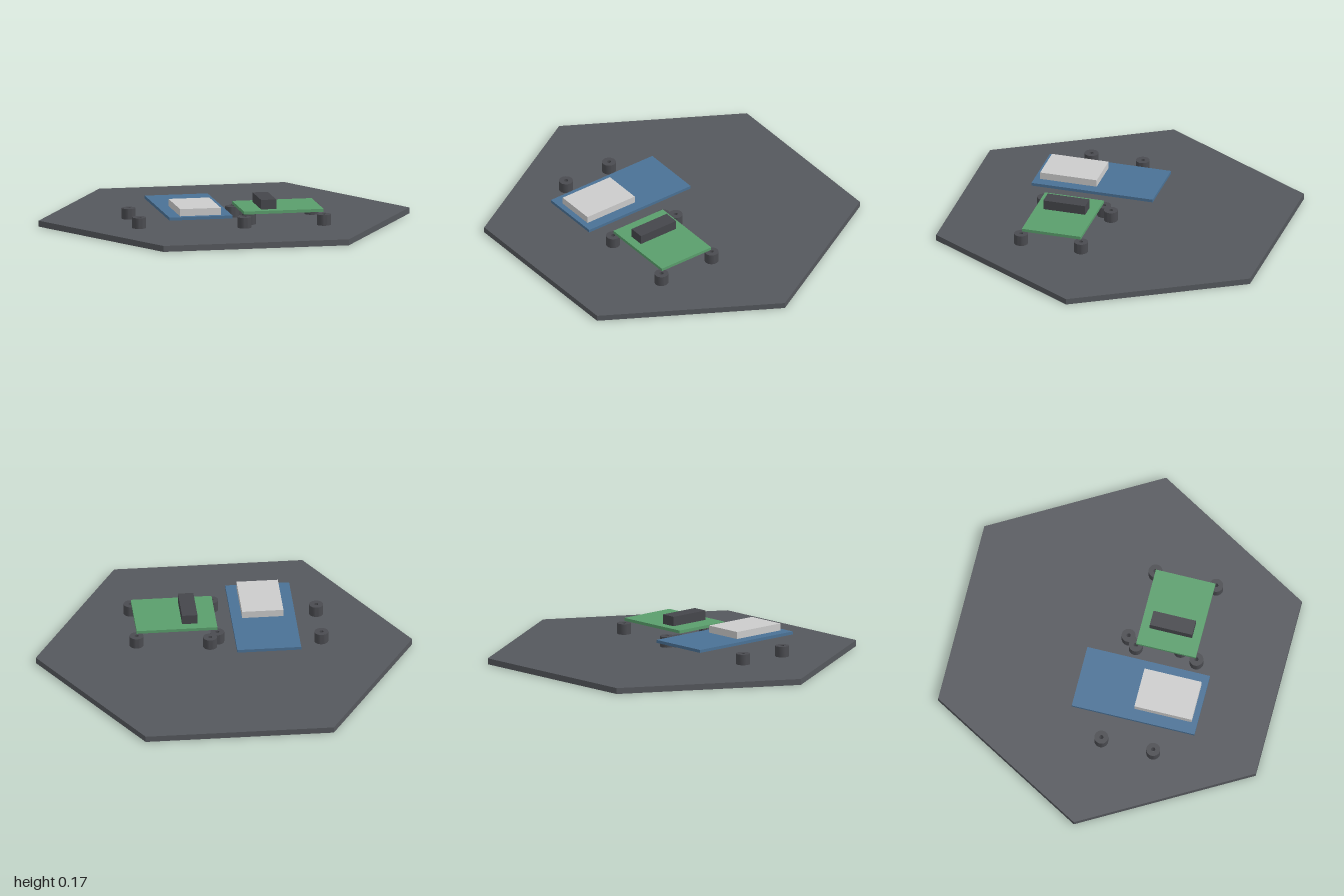
import * as THREE from 'three';
import { toCreasedNormals } from 'three/addons/utils/BufferGeometryUtils.js';

const material = (color) => new THREE.MeshStandardMaterial({ color });

export function createModel() {
  const model = new THREE.Group();
  const plateMat = material(0x55585d);
  const standoffMat = material(0x4a4b50);
  const connectorMat = material(0x45464b);
  const plateTop = 0.032;

  const add = (name, geometry, mat, x, y, z, parent = model) => {
    const mesh = new THREE.Mesh(geometry, mat);
    mesh.name = name;
    mesh.position.set(x, y, z);
    parent.add(mesh);
    return mesh;
  };

  // Box given by its extents on each axis
  const slab = (name, mat, [x0, x1], [y0, y1], [z0, z1], parent) =>
    add(name, new THREE.BoxGeometry(x1 - x0, y1 - y0, z1 - z0), mat,
      (x0 + x1) / 2, (y0 + y1) / 2, (z0 + z1) / 2, parent);

  // Hexagonal base plate with corners on the x axis
  const plate = toCreasedNormals(
    new THREE.CylinderGeometry(1, 1, plateTop, 6, 1, false, Math.PI / 2), 0.5);
  add('basePlate', plate, plateMat, 0, plateTop / 2, 0);

  // Hollow standoffs: one rectangle of four for each board
  const outer = 0.037, inner = 0.011, height = 0.057;
  const profile = [[outer, 0], [outer, height], [inner, height], [inner, 0], [outer, 0]]
    .map(([r, y]) => new THREE.Vector2(r, y));
  const standoff = toCreasedNormals(new THREE.LatheGeometry(profile, 32), 0.6);
  const standoffs = (name, xs, zs) => {
    const group = new THREE.Group();
    group.name = name;
    for (const x of xs)
      for (const z of zs) add('standoff', standoff, standoffMat, x, plateTop, z, group);
    model.add(group);
  };
  standoffs('blueBoardStandoffs', [-0.52, 0.071], [0.029, 0.312]);
  standoffs('greenBoardStandoffs', [0.028, 0.457], [0.079, 0.41]);

  // Blue board with its metal module
  const boardY = [0.1, 0.116];
  const blue = new THREE.Group();
  blue.name = 'blueBoardAssembly';
  slab('blueBoard', material(0x4a7195), [-0.395, -0.055], boardY, [-0.164, 0.505], blue);
  slab('metalModule', material(0xcccccc), [-0.332, -0.112], [0.116, 0.154], [0.162, 0.474], blue);

  // Green board with its tall connector
  const green = new THREE.Group();
  green.name = 'greenBoardAssembly';
  slab('greenBoard', material(0x5a9e6c), [0.027, 0.456], boardY, [0.081, 0.406], green);
  slab('connector', connectorMat, [0.128, 0.21], [0.116, 0.167], [0.13, 0.361], green);

  model.add(blue, green);
  return model;
}
